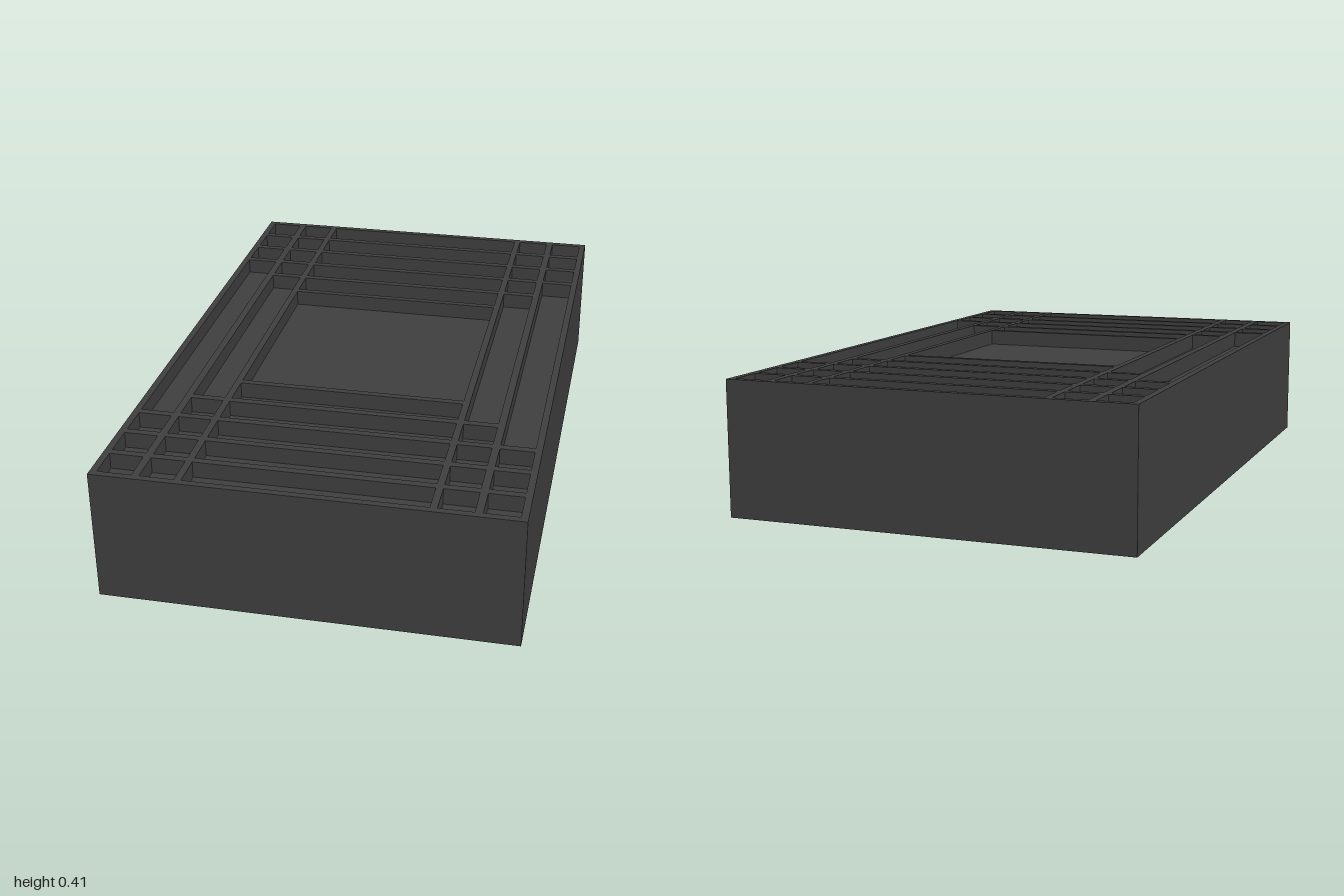
import * as THREE from 'three';

const WIDTH = 1.246, HEIGHT = 0.412, LENGTH = 2, DEPTH = 0.05;
const HALF = 0.353;                       // half side of the central square well
const FIRST = 0.374, PITCH = 0.1255, CELL = 0.1025;
const ROWS = 5;

function rectangle(Type, x0, x1, y0, y1) {
  return new Type([
    new THREE.Vector2(x0, y0), new THREE.Vector2(x1, y0),
    new THREE.Vector2(x1, y1), new THREE.Vector2(x0, y1),
  ]);
}

export function createModel() {
  const group = new THREE.Group();
  group.name = 'compartmentTray';
  const material = new THREE.MeshStandardMaterial({ color: 0x404040 });

  // Solid block; its top is the floor of all compartments
  const base = new THREE.Mesh(new THREE.BoxGeometry(WIDTH, HEIGHT - DEPTH, LENGTH), material);
  base.position.y = (HEIGHT - DEPTH) / 2;
  base.name = 'base';
  group.add(base);

  // Divider grid: one plate pierced by every compartment
  const plate = rectangle(THREE.Shape, -WIDTH / 2, WIDTH / 2, -LENGTH / 2, LENGTH / 2);
  const addHole = (x0, x1, z0, z1) => plate.holes.push(rectangle(THREE.Path, x0, x1, z0, z1));

  // A column has one long middle compartment and rows of cells at both ends
  const addColumn = (x0, x1, middleHalf, firstRow) => {
    addHole(x0, x1, -middleHalf, middleHalf);
    for (let row = firstRow; row < ROWS; row++) {
      const z = FIRST + row * PITCH;
      addHole(x0, x1, z, z + CELL);
      addHole(x0, x1, -z - CELL, -z);
    }
  };

  addColumn(-HALF, HALF, HALF, 0);
  for (let i = 0; i < 2; i++) {
    const x = FIRST + i * PITCH;
    addColumn(x, x + CELL, x + CELL, i + 1);
    addColumn(-x - CELL, -x, x + CELL, i + 1);
  }

  const geometry = new THREE.ExtrudeGeometry(plate, { depth: DEPTH, bevelEnabled: false });
  geometry.rotateX(-Math.PI / 2);
  const dividers = new THREE.Mesh(geometry, material);
  dividers.position.y = HEIGHT - DEPTH;
  dividers.name = 'dividerGrid';
  group.add(dividers);

  return group;
}
